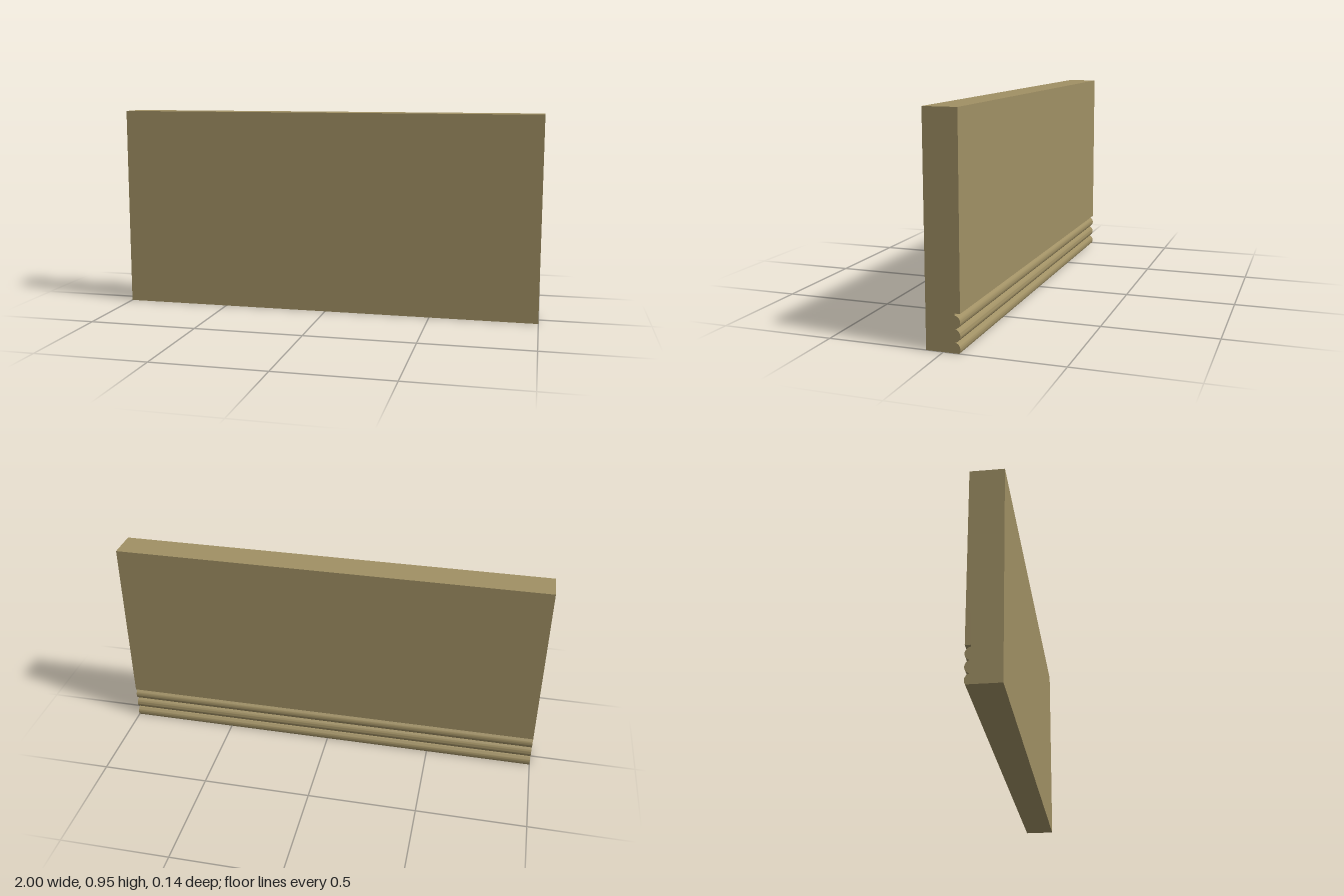
import * as THREE from 'three';
import { toCreasedNormals } from 'three/addons/utils/BufferGeometryUtils.js';

const HEIGHT = 0.95, LENGTH = 2, HALF_DEPTH = 0.0725;
const BEAD_R = 0.028, BEAD_PITCH = 0.054, FIRST_BEAD_Y = 0.0165;
const BEAD_COUNT = 3, BEAD_STEPS = 16;

export function createModel() {
  const group = new THREE.Group();
  group.name = 'beadedPanel';

  // Cross-section: shape x points to the back, shape y points up
  const profile = new THREE.Shape();
  profile.moveTo(-HALF_DEPTH, 0);

  // Rounded beads along the lower back; the lowest is cut off by the base
  const beadX = HALF_DEPTH - BEAD_R;
  const cusp = Math.asin(BEAD_PITCH / 2 / BEAD_R);
  const baseCut = Math.asin(FIRST_BEAD_Y / BEAD_R);
  for (let i = 0; i < BEAD_COUNT; i++) {
    const start = i === 0 ? -baseCut : -cusp;
    // Neighbouring beads share the point at their cusp
    for (let j = i === 0 ? 0 : 1; j <= BEAD_STEPS; j++) {
      const a = THREE.MathUtils.lerp(start, cusp, j / BEAD_STEPS);
      profile.lineTo(
        beadX + BEAD_R * Math.cos(a),
        FIRST_BEAD_Y + i * BEAD_PITCH + BEAD_R * Math.sin(a),
      );
    }
  }

  // Quirk above the beads, then the plain face
  profile.lineTo(0.049, 0.153);
  profile.lineTo(0.049, 0.16);
  profile.lineTo(HALF_DEPTH, 0.16);
  profile.lineTo(HALF_DEPTH, HEIGHT);
  profile.lineTo(-HALF_DEPTH, HEIGHT);
  profile.closePath();

  // Run the cross-section along x
  const extruded = new THREE.ExtrudeGeometry(profile, { depth: LENGTH, bevelEnabled: false });
  extruded.rotateY(Math.PI / 2);
  extruded.translate(-LENGTH / 2, 0, 0);

  const panel = new THREE.Mesh(
    toCreasedNormals(extruded, 0.5),
    new THREE.MeshStandardMaterial({ color: 0xa09064 }),
  );
  panel.name = 'panel';
  group.add(panel);
  return group;
}
